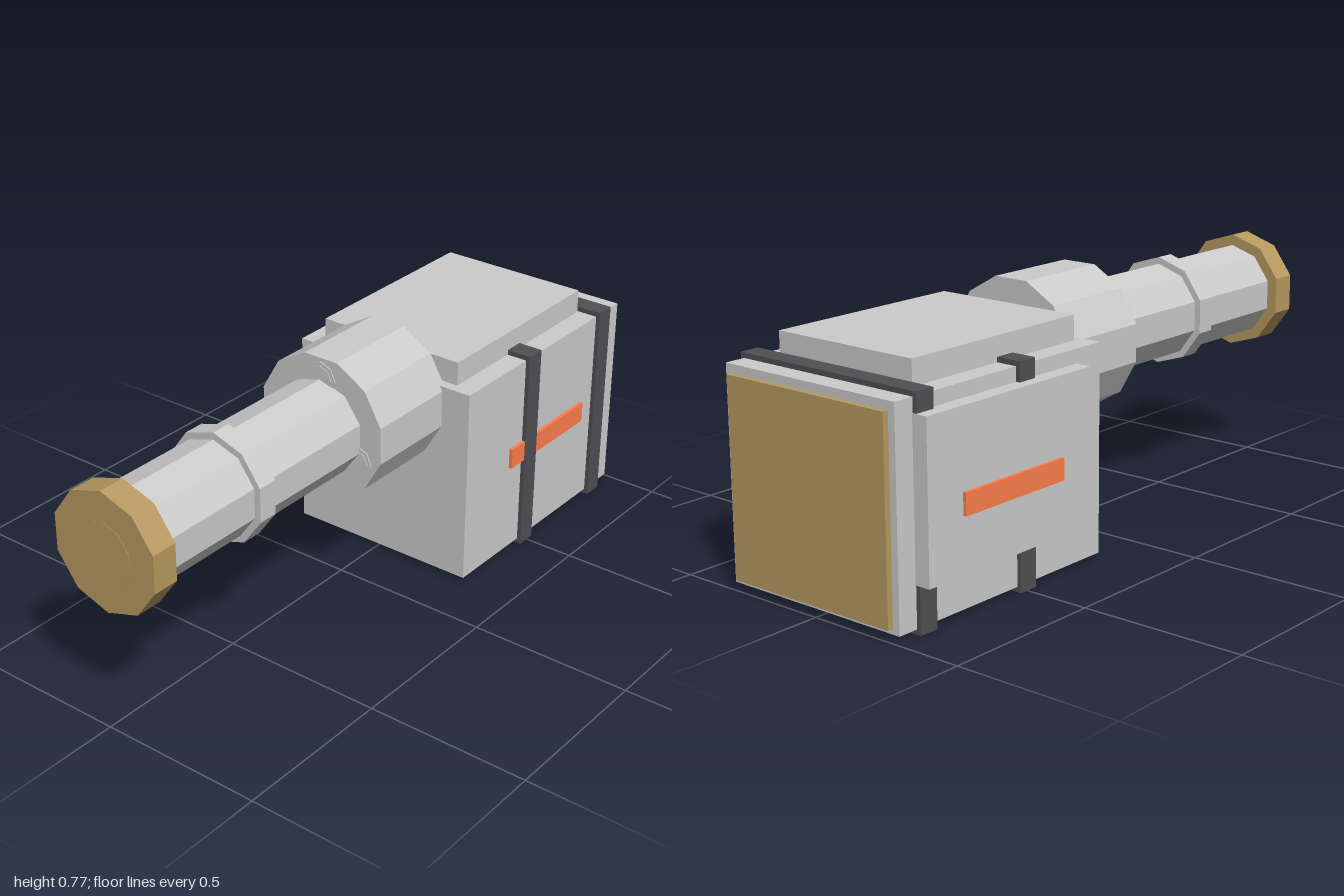
import * as THREE from 'three';

const material = (color) => new THREE.MeshStandardMaterial({ color, flatShading: true });

export function createModel() {
  const model = new THREE.Group();
  model.name = 'boxWithBarrel';
  const grey = material(0xcccccc);
  const dark = material(0x505054);
  const brass = material(0xb89a60);
  const orange = material(0xff7f4c);
  const cx = 0.0215; // axis of the body and barrel
  const cy = 0.557; // height of the barrel axis

  function add(name, geometry, mat) {
    const mesh = new THREE.Mesh(geometry, mat);
    mesh.name = name;
    model.add(mesh);
    return mesh;
  }

  // Box given by its extents on each axis
  function box(name, mat, x0, x1, y0, y1, z0, z1) {
    const mesh = add(name, new THREE.BoxGeometry(x1 - x0, y1 - y0, z1 - z0), mat);
    mesh.position.set((x0 + x1) / 2, (y0 + y1) / 2, (z0 + z1) / 2);
  }

  // Faceted cylinder lying along z, offset from the barrel axis
  function prism(name, mat, radius, sides, z0, z1, dx = 0, dy = 0, turn = 0) {
    const geometry = new THREE.CylinderGeometry(radius, radius, z1 - z0, sides, 1, false, turn);
    geometry.rotateX(Math.PI / 2);
    add(name, geometry, mat).position.set(cx + dx, cy + dy, (z0 + z1) / 2);
  }

  // Body with its raised plates
  box('body', grey, cx - 0.3085, cx + 0.3085, 0.015, 0.63, -0.982, -0.173);
  box('topPlate', grey, cx - 0.243, cx + 0.243, 0.6, 0.703, -0.85, -0.205);
  box('rightSidePanel', grey, -0.335, -0.27, 0.135, 0.588, -0.92, -0.275);
  box('backPlate', brass, cx - 0.286, cx + 0.286, 0.03, 0.605, -1, -0.97);

  // Straps around the body
  for (const z of [-0.887, -0.495]) {
    box('strap', dark, cx - 0.3215, cx + 0.3215, 0, 0.645, z - 0.031, z + 0.031);
  }

  // Coloured stripes on both sides
  box('leftStripe', orange, 0.32, 0.341, 0.297, 0.361, -0.79, -0.397);
  box('rightStripe', orange, -0.345, -0.325, 0.297, 0.361, -0.79, -0.397);

  // Collar and barrel
  prism('collar', grey, 0.2205, 12, -0.19, 0.12, 0, 0, Math.PI / 12);
  prism('barrel', grey, 0.147, 10, 0.1, 0.93);
  prism('barrelRing', grey, 0.168, 10, 0.513, 0.575);
  prism('muzzle', brass, 0.1815, 10, 0.917, 0.999);
  prism('muzzleDisc', brass, 0.093, 10, 0.98, 1);

  // Three discs on the collar face, around the barrel
  for (let i = 0; i < 3; i++) {
    const a = Math.PI / 2 + (i * Math.PI * 2) / 3;
    const dx = Math.cos(a) * 0.15;
    const dy = Math.sin(a) * 0.15;
    prism('collarDisc', grey, 0.053, 8, 0.1, 0.123, dx, dy);
    prism('collarDiscCentre', grey, 0.04, 8, 0.1, 0.125, dx, dy);
  }

  return model;
}
